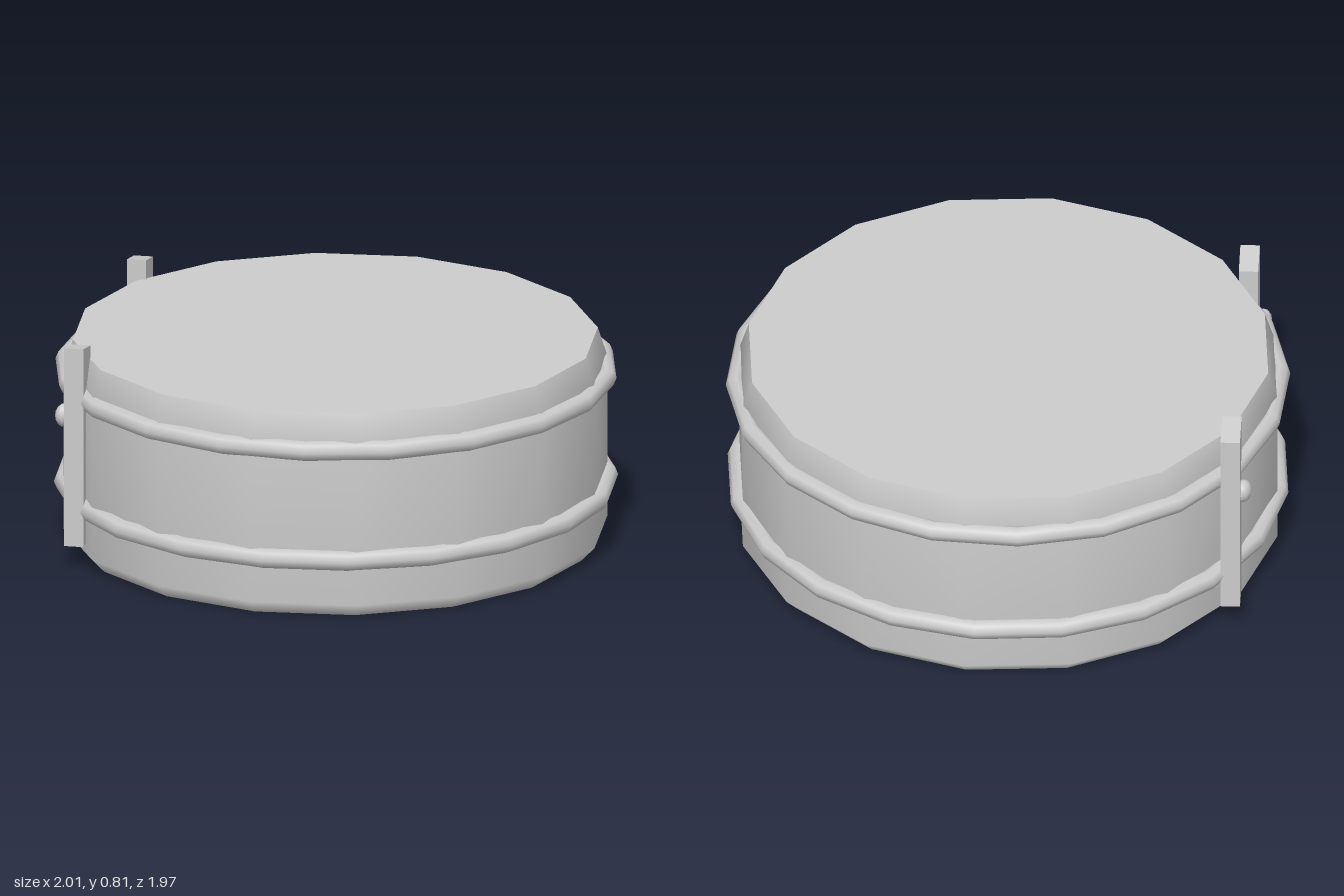
import * as THREE from 'three';

export function createModel() {
  const model = new THREE.Group();
  const grey = new THREE.MeshStandardMaterial({ color: 0xcccccc });
  grey.name = 'plain grey';

  const add = (name, geometry, x, y, z, parent = model) => {
    const mesh = new THREE.Mesh(geometry, grey);
    mesh.name = name;
    mesh.position.set(x, y, z);
    parent.add(mesh);
    return mesh;
  };

  // Shell: smooth sixteen-sided wall with bevelled foot and tapered rim, closed by flat caps
  const centreX = 0.016;
  const sides = 16;
  const phase = THREE.MathUtils.degToRad(-7);
  const turned = (...profile) => new THREE.LatheGeometry(
    profile.map(([r, y]) => new THREE.Vector2(r, y)), sides, phase);
  add('wall', turned([0.905, 0], [0.953, 0.05], [0.953, 0.64], [0.92, 0.743]), centreX, 0, 0);
  add('bottomCap', turned([0, 0], [0.905, 0]), centreX, 0, 0);
  add('topCap', turned([0.92, 0.743], [0, 0.743]), centreX, 0, 0);

  // Two rounded hoops, turned slightly against each other
  [['lowerHoop', 0.213, 0], ['upperHoop', 0.615, Math.PI / 20]].forEach(([name, y, turn]) => {
    const hoop = new THREE.TorusGeometry(0.951, 0.036, 8, 20);
    hoop.rotateX(Math.PI / 2);
    hoop.rotateY(turn);
    add(name, hoop, centreX, y, -0.004);
  });

  // Upright posts with sloping tops, each with a small knob on its outer side
  const postTop = 0.813, postBase = 0.087;
  [['frontPost', -0.552, 0.775, -0.6], ['sidePost', -0.93, -0.19, -0.972]].forEach(
    ([name, x, z, knobX]) => {
      const height = postTop - postBase;
      const bar = new THREE.BoxGeometry(0.068, height, 0.125).toNonIndexed();
      const p = bar.attributes.position;
      for (let i = 0; i < p.count; i++) {
        if (p.getY(i) > 0 && p.getZ(i) < 0) p.setY(i, p.getY(i) - 0.025);
      }
      bar.computeVertexNormals();
      const post = add(name, bar, x, (postTop + postBase) / 2, z);
      post.rotation.y = 0.39;

      const knob = add(name + 'Knob', new THREE.SphereGeometry(0.03, 10, 8), knobX, 0.545, z + 0.01);
      knob.scale.set(1, 1.4, 1.25);
    });

  return model;
}
